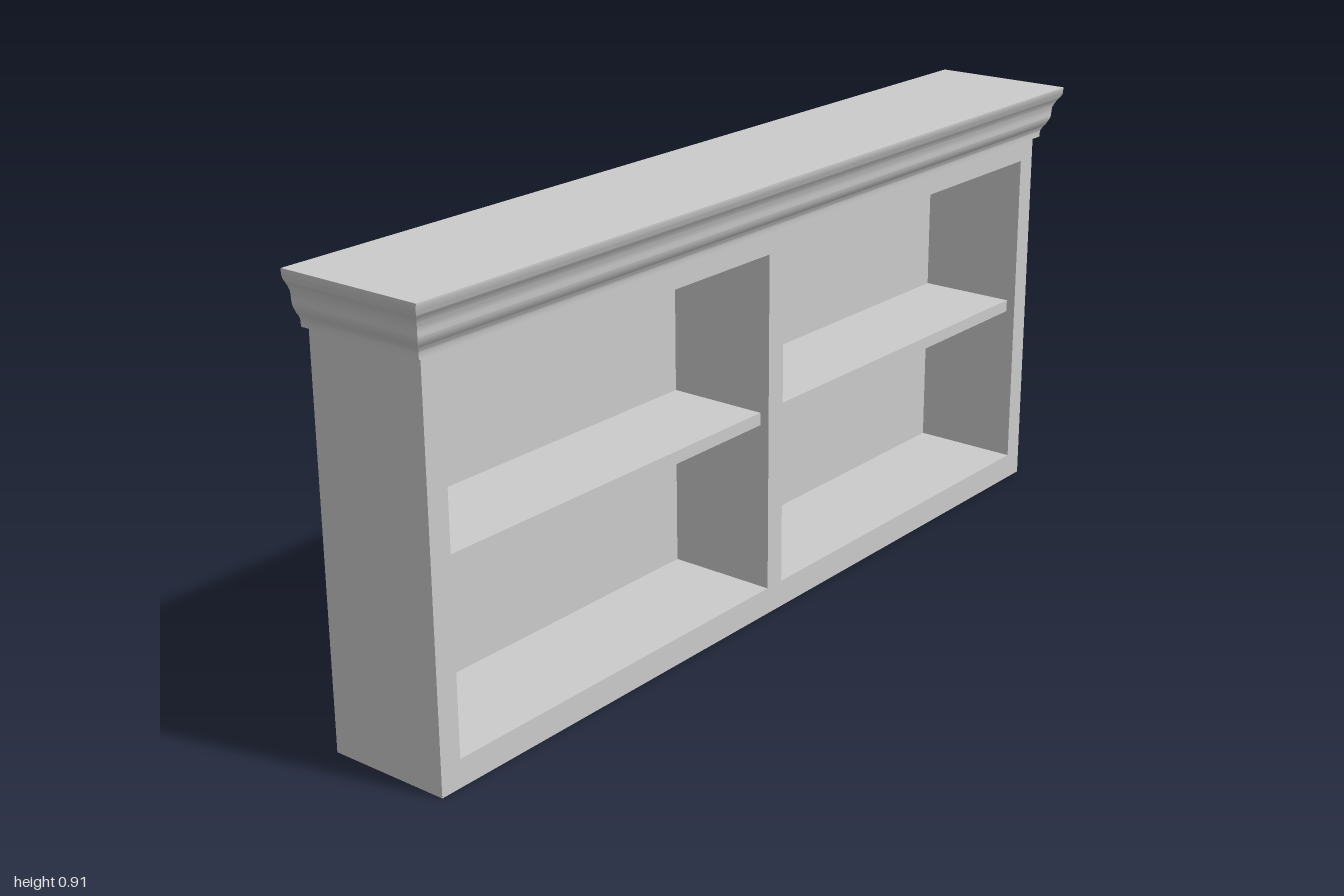
import * as THREE from 'three';
import { toCreasedNormals } from 'three/addons/utils/BufferGeometryUtils.js';

const material = new THREE.MeshStandardMaterial({ color: 0xcccccc, side: THREE.DoubleSide });

// Cabinet faces +x and is long in z
const BACK = -0.153, FRONT = 0.11, HALF = 0.951, HEIGHT = 0.804;
const OPEN = { z0: 0.023, z1: 0.904, y0: 0.056, y1: 0.758 };
const SKIN = 0.004, LINER = 0.012, FRAME = 0.02;

export function createModel() {
  const group = new THREE.Group();

  const add = (name, geometry) => {
    const mesh = new THREE.Mesh(geometry, material);
    mesh.name = name;
    group.add(mesh);
    return mesh;
  };
  // Box given by its limits on each axis
  const box = (name, x0, x1, y0, y1, z0, z1) =>
    add(name, new THREE.BoxGeometry(x1 - x0, y1 - y0, Math.abs(z1 - z0)))
      .position.set((x0 + x1) / 2, (y0 + y1) / 2, (z0 + z1) / 2);

  // Face frame with two openings
  const rect = (Type, x0, x1, y0, y1) => new Type([
    new THREE.Vector2(x0, y0), new THREE.Vector2(x1, y0),
    new THREE.Vector2(x1, y1), new THREE.Vector2(x0, y1),
  ]);
  const face = rect(THREE.Shape, -HALF, HALF, 0, HEIGHT);
  for (const s of [-1, 1]) {
    face.holes.push(rect(THREE.Path, s * OPEN.z0, s * OPEN.z1, OPEN.y0, OPEN.y1));
  }
  const frame = add('faceFrame', new THREE.ExtrudeGeometry(face, { depth: FRAME, bevelEnabled: false }));
  frame.rotation.y = Math.PI / 2;
  frame.position.x = FRONT - FRAME;

  // Outer skin: bottom and ends, open at the back
  const inner = FRONT - FRAME;
  box('bottomSkin', BACK, inner, 0, SKIN, -HALF, HALF);
  for (const s of [-1, 1]) {
    box('endPanel', BACK, inner, SKIN, HEIGHT, s * (HALF - SKIN), s * HALF);
  }

  // Inner floor and ceiling run the full length
  const span = HALF - SKIN;
  box('floorPanel', BACK, inner, OPEN.y0 - LINER, OPEN.y0, -span, span);
  box('ceilingPanel', BACK, inner, OPEN.y1, OPEN.y1 + LINER, -span, span);

  // Each bay: two side walls, recessed back and a shelf
  for (const s of [-1, 1]) {
    box('bayInnerWall', BACK, inner, OPEN.y0, OPEN.y1, s * (OPEN.z0 - LINER), s * OPEN.z0);
    box('bayOuterWall', BACK, inner, OPEN.y0, OPEN.y1, s * OPEN.z1, s * (OPEN.z1 + LINER));
    box('backPanel', -0.13, -0.125, OPEN.y0, OPEN.y1, s * OPEN.z0, s * OPEN.z1);
    box('shelf', BACK, 0.09, 0.404, 0.43, s * OPEN.z0, s * OPEN.z1);
  }

  add('crownMoulding', crownGeometry());
  box('crownTop', -0.157, 0.155, 0.911, 0.914, -0.998, 0.998);
  return group;
}

// Crown profile (projection, height) swept round three sides with mitred corners
function crownGeometry() {
  const cove = (a, c, b) => new THREE.QuadraticBezierCurve(
    new THREE.Vector2(...a), new THREE.Vector2(...c), new THREE.Vector2(...b)).getPoints(6);
  const profile = [
    new THREE.Vector2(0, 0.804),
    new THREE.Vector2(0.011, 0.804),
    ...cove([0.011, 0.815], [0.013, 0.824], [0.019, 0.83]),
    ...cove([0.026, 0.844], [0.028, 0.85], [0.028, 0.858]),
    ...cove([0.029, 0.87], [0.034, 0.883], [0.042, 0.893]),
    new THREE.Vector2(0.045, 0.9),
    new THREE.Vector2(0.046, 0.914),
  ];
  // Plan corners for a given projection: back, two front corners, back
  const plan = (d) => [
    [-0.157, HALF + d + 0.002], [0.109 + d, HALF + d + 0.002],
    [0.109 + d, -HALF - d - 0.002], [-0.157, -HALF - d - 0.002],
  ];
  const positions = [];
  for (let i = 0; i < profile.length - 1; i++) {
    const low = plan(profile[i].x), high = plan(profile[i + 1].x);
    const at = (p, y) => [p[0], y, p[1]];
    for (let k = 0; k < 3; k++) {
      const a = at(low[k], profile[i].y), b = at(low[k + 1], profile[i].y);
      const c = at(high[k + 1], profile[i + 1].y), d = at(high[k], profile[i + 1].y);
      positions.push(...a, ...b, ...c, ...a, ...c, ...d);
    }
  }
  const geometry = new THREE.BufferGeometry();
  geometry.setAttribute('position', new THREE.Float32BufferAttribute(positions, 3));
  return toCreasedNormals(geometry, 0.6);
}
